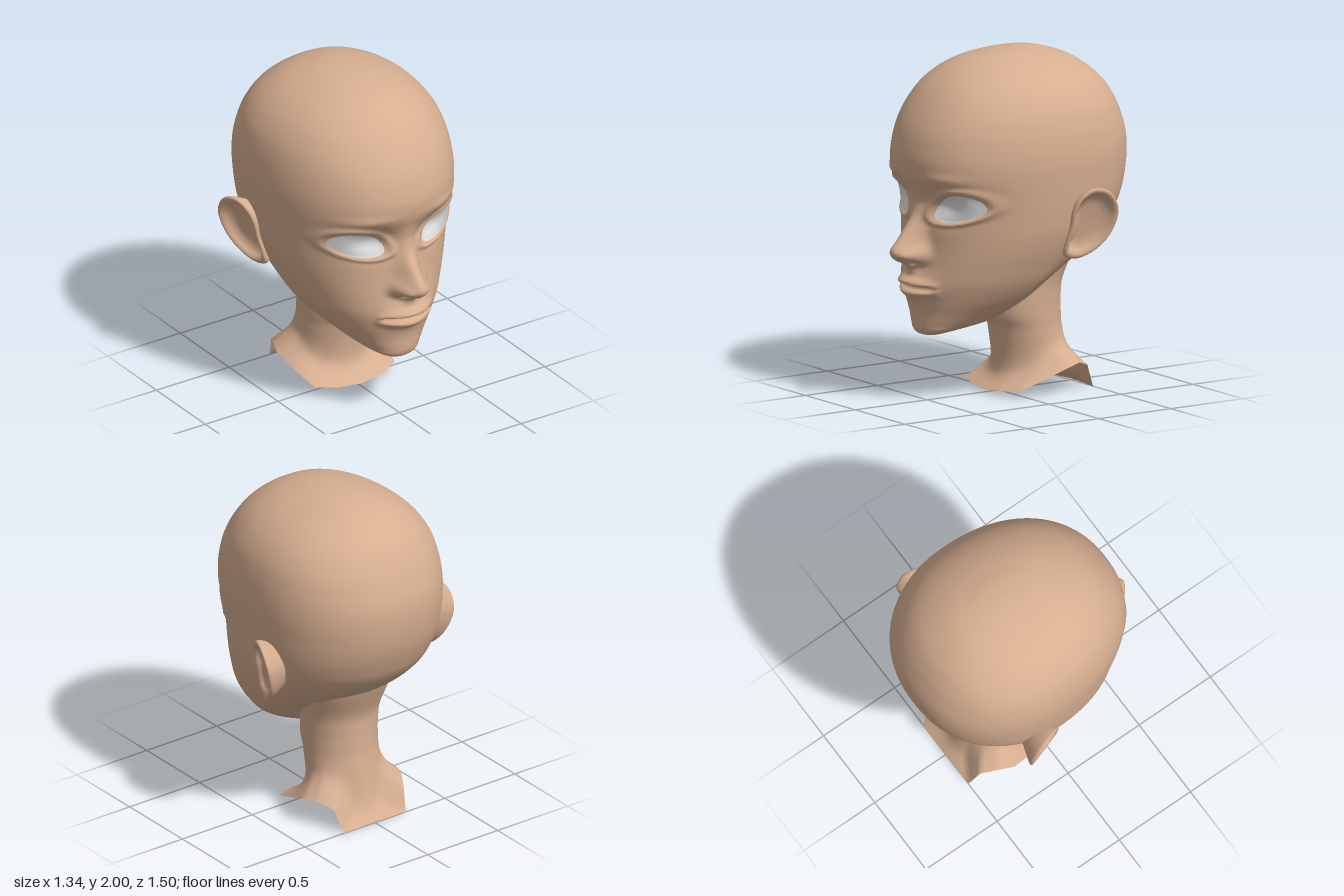
import * as THREE from 'three';

const skin = new THREE.MeshStandardMaterial({ color: 0xd6ae90, side: THREE.DoubleSide });
skin.name = 'skin';
const eyeWhite = new THREE.MeshStandardMaterial({ color: 0xe4e4e6 });
eyeWhite.name = 'eye white';

// Grid surface: rows of points, closed around the columns
function surface(rows, cols, point, flip = false) {
  const pos = [], idx = [];
  for (let i = 0; i <= rows; i++)
    for (let j = 0; j < cols; j++) pos.push(...point(i / rows, j / cols));
  for (let i = 0; i < rows; i++)
    for (let j = 0; j < cols; j++) {
      const a = i * cols + j, b = i * cols + (j + 1) % cols, c = b + cols, d = a + cols;
      if (flip) idx.push(a, c, b, a, d, c);
      else idx.push(a, b, c, a, c, d);
    }
  const g = new THREE.BufferGeometry();
  g.setAttribute('position', new THREE.Float32BufferAttribute(pos, 3));
  g.setIndex(idx);
  g.computeVertexNormals();
  return g;
}

// Smooth interpolation through rows of numbers, t in 0..1
function sample(keys, t) {
  const n = keys.length - 1, f = Math.min(Math.max(t, 0), 1) * n;
  const i = Math.min(Math.floor(f), n - 1), u = f - i;
  const k = (m) => keys[Math.min(Math.max(m, 0), n)];
  return keys[0].map((_, c) => {
    const a = k(i - 1)[c], b = k(i)[c], d = k(i + 1)[c], e = k(i + 2)[c];
    return b + 0.5 * u * (d - a + u * (2 * a - 5 * b + 4 * d - e + u * (3 * (b - d) + e - a)));
  });
}

// Parameter of the row whose first number is y
function find(keys, y, dir = 1) {
  let lo = 0, hi = 1;
  for (let n = 0; n < 24; n++) {
    const mid = (lo + hi) / 2;
    if ((sample(keys, mid)[0] - y) * dir < 0) lo = mid; else hi = mid;
  }
  return lo;
}

const bump = (x, y, cx, cy, sx, sy) => Math.exp(-(((x - cx) / sx) ** 2) - ((y - cy) / sy) ** 2);
const pw = (v, e) => Math.sign(v) * Math.abs(v) ** e;
const smooth = THREE.MathUtils.smoothstep;

// Skull sections: height, half width, front z, back z, z of the widest point
const HEAD = [
  [0.386, 0, 0.5, 0.5, 0.5],
  [0.394, 0.075, 0.543, 0.42, 0.49],
  [0.42, 0.14, 0.563, 0.25, 0.43],
  [0.46, 0.2, 0.57, 0.05, 0.3],
  [0.52, 0.265, 0.572, -0.05, 0.2],
  [0.6, 0.345, 0.578, -0.13, 0.1],
  [0.7, 0.417, 0.585, -0.25, 0.03],
  [0.8, 0.465, 0.58, -0.41, -0.02],
  [0.9, 0.505, 0.57, -0.545, -0.06],
  [1.0, 0.535, 0.565, -0.635, -0.1],
  [1.1, 0.553, 0.565, -0.685, -0.12],
  [1.2, 0.565, 0.585, -0.72, -0.13],
  [1.3, 0.573, 0.622, -0.74, -0.13],
  [1.4, 0.578, 0.638, -0.747, -0.13],
  [1.5, 0.573, 0.623, -0.74, -0.13],
  [1.6, 0.557, 0.59, -0.712, -0.13],
  [1.7, 0.525, 0.533, -0.67, -0.13],
  [1.8, 0.46, 0.455, -0.605, -0.12],
  [1.88, 0.37, 0.36, -0.515, -0.11],
  [1.94, 0.26, 0.25, -0.415, -0.1],
  [1.98, 0.145, 0.11, -0.29, -0.1],
  [1.995, 0.07, 0, -0.2, -0.1],
  [2.0, 0, -0.1, -0.1, -0.1],
];

// Nose ridge from lip to brow: height, projection, half width
const NOSE = [
  [0.74, 0, 0.06], [0.785, 0.032, 0.05], [0.815, 0.08, 0.07], [0.835, 0.13, 0.08],
  [0.865, 0.168, 0.085], [0.905, 0.176, 0.08], [0.97, 0.125, 0.068], [1.07, 0.053, 0.062],
  [1.15, 0.02, 0.065], [1.2, 0.01, 0.07], [1.26, 0, 0.08],
];

// Almond eye outline, radius 1 at the lid edge
const EYE = { x: 0.276, y: 1.14, w: 0.147, up: 0.095, down: 0.06, tilt: 0.2 };
function eyeRadius(x, y) {
  const dx = x - EYE.x, dy = y - EYE.y - EYE.tilt * dx;
  return Math.hypot(dx / EYE.w, dy / (dy > 0 ? EYE.up : EYE.down));
}

// Facial relief added to z: nose, lips, brows, sockets and lids
function relief(x, y) {
  x = Math.abs(x);
  let d = 0;
  if (y > 0.74 && y < 1.26) {
    const [, h, s] = sample(NOSE, find(NOSE, y));
    d += h * Math.exp(-((x / s) ** 2.4));
  }
  d += 0.05 * bump(x, y, 0.078, 0.872, 0.032, 0.036);
  d -= 0.045 * bump(x, y, 0.045, 0.828, 0.022, 0.014);
  d += 0.05 * bump(x, y, 0, 0.69, 0.15, 0.09);
  const taper = Math.max(0, 1 - (x / 0.19) ** 2), line = 0.677;
  d += 0.034 * Math.sqrt(taper) * bump(0, y, 0, line + 0.008 + 0.025 * taper, 1, 0.024);
  d += 0.03 * Math.sqrt(taper) * bump(0, y, 0, line - 0.01 - 0.03 * taper, 1, 0.026);
  d -= 0.05 * Math.min(1, taper * 2) * bump(0, y, 0, line, 1, 0.011);
  d -= 0.055 * bump(x, y, 0.2, 1.17, 0.12, 0.085);
  d += 0.015 * bump(x, y, 0.27, 1.325, 0.15, 0.035);
  d += 0.02 * Math.exp(-(((eyeRadius(x, y) - 1.25) / 0.17) ** 2));
  return d;
}

function skullFront(x, y) {
  const [, w, zf, , cz] = sample(HEAD, find(HEAD, y));
  return cz + (zf - cz) * Math.max(0, 1 - Math.abs(x / w) ** 2.2) ** (1 / 2.2);
}

function headPoint(v, u) {
  const [y, w, zf, zb, cz] = sample(HEAD, v);
  const q = 2 * u - 1, a = Math.PI * pw(q, 1.4);
  const c = Math.cos(a), s = Math.sin(a);
  const e = 2 / (c > 0 ? 2.2 : 1.75 + 0.45 * smooth(y, 0.6, 1.2));
  const x = w * pw(s, e);
  let z = cz + (c > 0 ? zf - cz : cz - zb) * pw(c, e);
  if (c > 0) {
    z += relief(x, y) * smooth(c, 0, 0.3);
    z -= 0.03 * (1 - smooth(eyeRadius(Math.abs(x), y), 0.7, 0.95));
  }
  return [x, y, z];
}

// Eye plates following the socket
function eyeGeometry(side) {
  return surface(12, 56, (r, u) => {
    const a = u * Math.PI * 2, Y = r * Math.sin(a), dx = EYE.w * r * Math.cos(a);
    const x = EYE.x + dx, y = EYE.y + EYE.tilt * dx + Y * (Y > 0 ? EYE.up : EYE.down);
    return [side * x, y, skullFront(x, y) + relief(x, y) + 0.005 + 0.008 * (1 - r * r)];
  }, side > 0);
}

// Ear: rim outline as (z, y), swept through scaled rings
const RIM = new THREE.CatmullRomCurve3([
  [-0.12, 1.12], [-0.15, 1.2], [-0.22, 1.255], [-0.31, 1.235], [-0.37, 1.14], [-0.365, 1.04],
  [-0.32, 0.94], [-0.24, 0.865], [-0.16, 0.837], [-0.1, 0.86], [-0.1, 0.94], [-0.115, 1.03],
].map(([z, y]) => new THREE.Vector3(0, y, z)), true);
// Ring scale and height above the ear plane
const EAR_RINGS = [
  [0.72, -0.12], [0.88, -0.06], [0.97, -0.025], [1, -0.005], [0.97, 0.008], [0.9, 0.01],
  [0.82, 0], [0.72, -0.02], [0.55, -0.034], [0.3, -0.038], [0, -0.04],
];
function earGeometry(side) {
  return surface(36, 64, (v, u) => {
    const [s, h] = sample(EAR_RINGS, v), p = RIM.getPoint(u);
    const y = 1.06 + (p.y - 1.06) * s, z = -0.225 + (p.z + 0.225) * s;
    return [side * (0.56 + 0.35 * (-z - 0.13) + 0.2 * (y - 1.05) + h), y, z];
  }, side > 0);
}

// Neck sections from the hem up: height, half width, front z, back z
const NECK = [
  [0.35, 0.22, 0.028, -0.39], [0.45, 0.222, 0.06, -0.38], [0.55, 0.226, 0.06, -0.378],
  [0.65, 0.235, 0.03, -0.385], [0.8, 0.265, 0, -0.445], [0.95, 0.29, 0, -0.5],
];
// Cut lower edge, front middle to back middle
const HEM = [
  [0, 0.02, 0.11], [0.15, 0.03, 0.095], [0.275, 0.045, 0.04], [0.31, 0.1, -0.1], [0.335, 0.16, -0.26],
  [0.3, 0.172, -0.35], [0.25, 0.14, -0.44], [0.22, 0.003, -0.5], [0, 0.01, -0.505],
];
function neckPoint(v, u) {
  const q = 2 * u - 1, a = Math.abs(q) * Math.PI, side = q < 0 ? -1 : 1;
  const f = Math.abs(q) * 8, i = Math.min(Math.floor(f), 7);
  const hem = HEM[i].map((n, c) => n + (HEM[i + 1][c] - n) * (f - i));
  const ring = ([y, w, zf, zb]) => {
    const mid = (zf + zb) / 2;
    return [w * Math.sin(a), y, mid + (zf - mid) * Math.cos(a)];
  };
  const low = ring([hem[1] + 0.1, 0.235, 0.014, -0.44]);
  const p = sample([hem, low, ...NECK.map(ring)], v);
  return [side * p[0], p[1], p[2]];
}

export function createModel() {
  const model = new THREE.Group();
  model.name = 'head bust';
  const add = (name, geometry, material) => {
    const mesh = new THREE.Mesh(geometry, material);
    mesh.name = name;
    model.add(mesh);
  };
  add('head', surface(210, 160, headPoint), skin);
  add('neck', surface(42, 64, neckPoint), skin);
  for (const [name, side] of [['left', 1], ['right', -1]]) {
    add(name + 'Eye', eyeGeometry(side), eyeWhite);
    add(name + 'Ear', earGeometry(side), skin);
  }
  return model;
}
